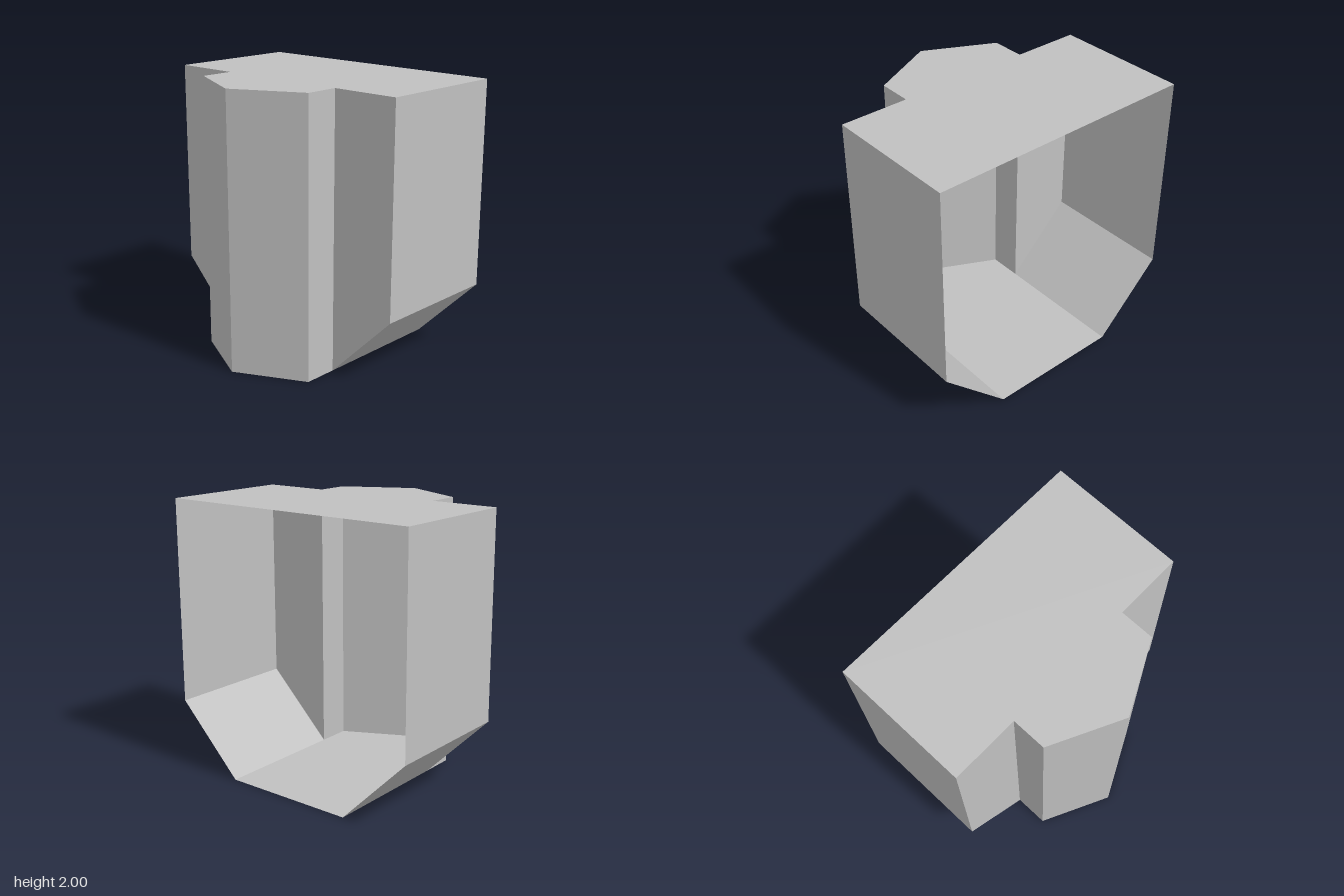
import * as THREE from 'three';

const grey = new THREE.MeshStandardMaterial({ color: 0xc0c0c0, side: THREE.DoubleSide });
grey.name = 'plainGrey';

// Main dimensions
const H = 2, W = 1, INNER = 0.5, CHAMFER = 0.5;
const BACK = -0.75, FRONT = 0.25, NOSE = 0.5, TIP = 0.75;

// Flat convex panel from four corners, counter-clockwise from outside
function panel(name, corners, mirror) {
  const pts = corners.map(([x, y, z]) => [mirror ? -x : x, y, z]);
  if (mirror) pts.reverse();
  const geo = new THREE.BufferGeometry();
  geo.setAttribute('position', new THREE.Float32BufferAttribute(pts.flat(), 3));
  geo.setIndex([0, 1, 2, 0, 2, 3]);
  geo.computeVertexNormals();
  const mesh = new THREE.Mesh(geo, grey);
  mesh.name = name;
  return mesh;
}

// Horizontal sheet from its right-half outline [x, z], running back to front
function sheet(name, half, y, faceDown) {
  const outline = [...half, [0, TIP], ...half.map(([x, z]) => [-x, z]).reverse()];
  const s = faceDown ? 1 : -1;
  const geo = new THREE.ShapeGeometry(
    new THREE.Shape(outline.map(([x, z]) => new THREE.Vector2(x, s * z))));
  geo.rotateX(s * Math.PI / 2);
  geo.translate(0, y, 0);
  const mesh = new THREE.Mesh(geo, grey);
  mesh.name = name;
  return mesh;
}

export function createModel() {
  const group = new THREE.Group();
  group.name = 'openBackShell';

  // Top cover and floor
  group.add(sheet('topCover', [[W, BACK], [W, FRONT], [INNER, FRONT], [INNER, NOSE]], H, false));
  group.add(sheet('floor', [[INNER, BACK], [INNER, NOSE]], 0, true));

  // Walls, mirrored left and right; the back stays open
  const walls = {
    SideWall: [[W, CHAMFER, FRONT], [W, CHAMFER, BACK], [W, H, BACK], [W, H, FRONT]],
    SlopedBase: [[INNER, 0, FRONT], [INNER, 0, BACK], [W, CHAMFER, BACK], [W, CHAMFER, FRONT]],
    FrontPanel: [[INNER, 0, FRONT], [W, CHAMFER, FRONT], [W, H, FRONT], [INNER, H, FRONT]],
    NoseSide: [[INNER, 0, NOSE], [INNER, 0, FRONT], [INNER, H, FRONT], [INNER, H, NOSE]],
    NoseFace: [[0, 0, TIP], [INNER, 0, NOSE], [INNER, H, NOSE], [0, H, TIP]],
  };
  for (const [name, corners] of Object.entries(walls)) {
    group.add(panel('left' + name, corners, false));
    group.add(panel('right' + name, corners, true));
  }
  return group;
}
